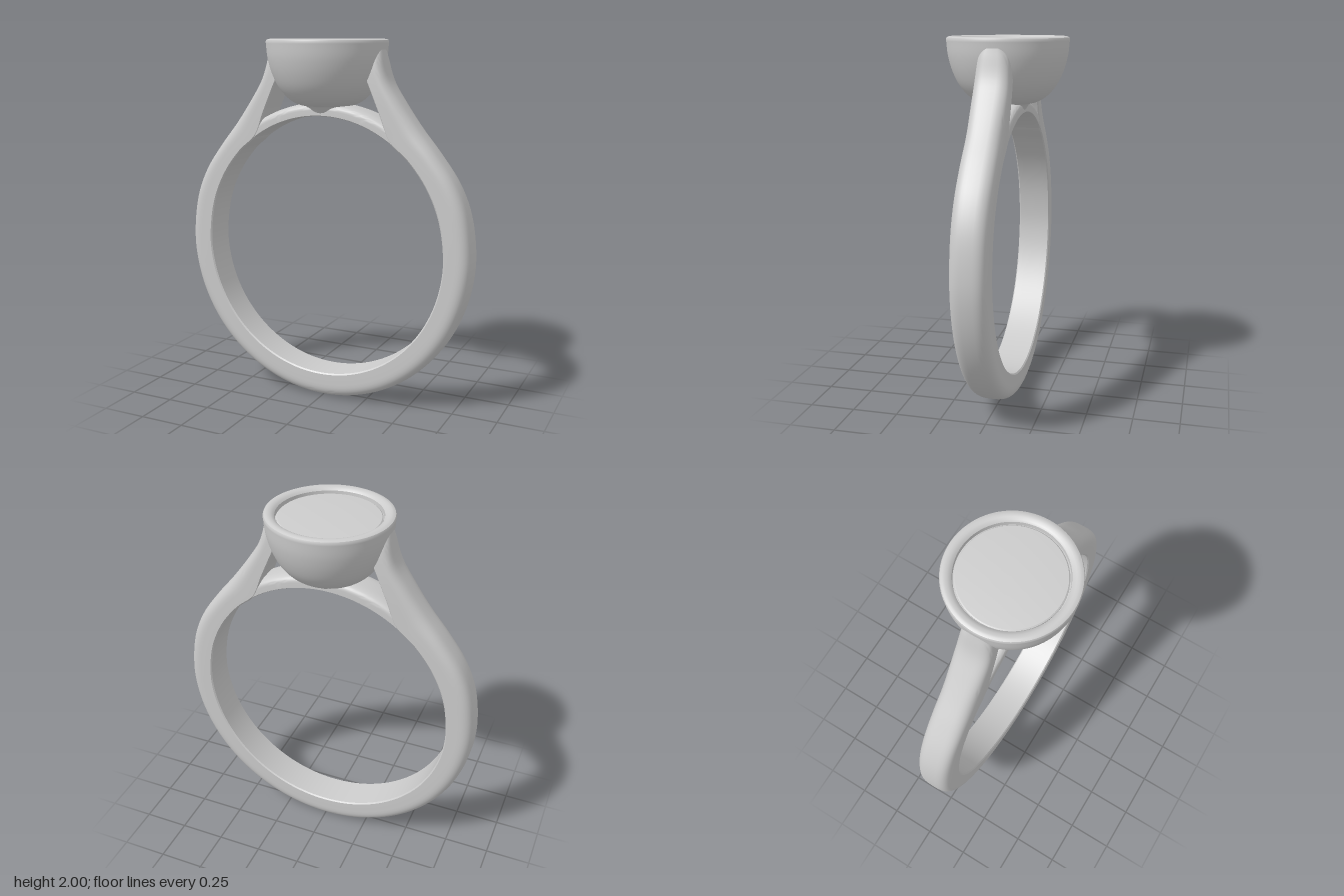
import * as THREE from 'three';
import { toCreasedNormals } from 'three/addons/utils/BufferGeometryUtils.js';

const CY = 0.87;            // height of the finger hole centre
const RX = 0.704, RY = 0.725; // finger hole radii
const HALF_WIDTH = 0.096;

const material = new THREE.MeshStandardMaterial({ color: 0xcccccc, side: THREE.DoubleSide });

function addMesh(group, name, geometry, crease = 0.6) {
  const mesh = new THREE.Mesh(toCreasedNormals(geometry, crease), material);
  mesh.name = name;
  group.add(mesh);
}

const ellipse = (a, rx, ry) => new THREE.Vector3(rx * Math.cos(a), CY + ry * Math.sin(a), 0);

// Band section: u runs from finger side (0) to outside (1), w across the width
function bandSection() {
  const half = [[0, 0.5], [0, 0.93], [0.05, 1]];
  const n = 10;
  for (let i = 0; i <= n; i++) {
    const t = (i / n) * Math.PI / 2;
    half.push([0.45 + 0.55 * Math.sin(t) ** 0.8, Math.cos(t) ** 0.6]);
  }
  half[half.length - 1][1] = 0;
  const left = half.map(([u, w]) => [u, -w]);
  return [...left, ...half.slice(0, -1).reverse()];
}

// Skin a row of { inner, outer, width } stations with the band section
function loft(stations) {
  const section = bandSection(), n = section.length;
  const positions = [], index = [];
  stations.forEach(({ inner, outer, width }, i) => {
    section.forEach(([u, w], j) => {
      const p = inner.clone().lerp(outer, u);
      positions.push(p.x, p.y, w * width);
      if (i === stations.length - 1) return;
      const a = i * n + j, d = i * n + (j + 1) % n;
      index.push(a, a + n, d + n, a, d + n, d);
    });
  });
  // End caps
  const last = (stations.length - 1) * n;
  for (let j = 1; j < n - 1; j++) index.push(0, j, j + 1, last, last + j + 1, last + j);
  const g = new THREE.BufferGeometry();
  g.setAttribute('position', new THREE.Float32BufferAttribute(positions, 3));
  g.setIndex(index);
  return g;
}

// Shank: hoop whose ends sweep up into the two shoulders
function shankStations() {
  const right = [];
  for (let i = 0; i <= 8; i++) {
    const a = -Math.PI / 2 + (i / 8) * Math.PI / 2;
    right.push([ellipse(a, RX, RY), ellipse(a, 0.845, 0.87), 1]);
  }
  // inner x, y, outer x, y, width factor
  [
    [0.674, 1.08, 0.815, 1.10, 1],
    [0.60, 1.25, 0.75, 1.26, 1],
    [0.496, 1.385, 0.645, 1.41, 1],
    [0.395, 1.475, 0.54, 1.54, 1],
    [0.345, 1.60, 0.445, 1.67, 1],
    [0.29, 1.73, 0.37, 1.79, 0.98],
    [0.23, 1.87, 0.335, 1.91, 0.88],
    [0.22, 1.95, 0.322, 1.96, 0.6],
  ].forEach(([ix, iy, ox, oy, w]) =>
    right.push([new THREE.Vector3(ix, iy, 0), new THREE.Vector3(ox, oy, 0), w]));
  const flip = (p) => new THREE.Vector3(-p.x, p.y, 0);
  const left = right.slice(1).reverse().map(([a, b, w]) => [flip(a), flip(b), w]);
  const all = [...left, ...right];
  const inner = new THREE.CatmullRomCurve3(all.map((s) => s[0]));
  const outer = new THREE.CatmullRomCurve3(all.map((s) => s[1]));
  const width = new THREE.CatmullRomCurve3(all.map((s, i) => new THREE.Vector3(i, s[2], 0)));
  const steps = (all.length - 1) * 5;
  return Array.from({ length: steps + 1 }, (_, i) => {
    const t = i / steps;
    return { inner: inner.getPoint(t), outer: outer.getPoint(t), width: HALF_WIDTH * width.getPoint(t).y };
  });
}

// Arch: thin bridge closing the finger hole below the bezel
function archStations() {
  const a0 = Math.acos(0.45 / RX), steps = 48;
  return Array.from({ length: steps + 1 }, (_, i) => {
    const a = a0 + (i / steps) * (Math.PI - 2 * a0);
    return { inner: ellipse(a, RX, RY), outer: ellipse(a, RX + 0.075, RY + 0.07), width: HALF_WIDTH - 0.002 };
  });
}

const lathe = (points) =>
  new THREE.LatheGeometry(points.map(([x, y]) => new THREE.Vector2(x, y)), 96);

export function createModel() {
  const ring = new THREE.Group();
  ring.name = 'ring';

  addMesh(ring, 'shankAndShoulders', loft(shankStations()));
  addMesh(ring, 'underArch', loft(archStations()));

  // Bezel cup: rounded bowl with a soft rim and a shallow seat
  const bowl = new THREE.SplineCurve([
    [0.08, 1.643], [0.15, 1.652], [0.21, 1.685], [0.262, 1.745],
    [0.298, 1.82], [0.32, 1.90], [0.328, 1.975],
  ].map(([x, y]) => new THREE.Vector2(x, y))).getPoints(30).map((p) => [p.x, p.y]);
  addMesh(ring, 'bezelCup', lathe([
    [0, 1.64], ...bowl,
    [0.329, 1.985], [0.325, 1.994], [0.315, 1.999], [0.305, 2.0], [0.292, 1.998],
    [0.28, 1.992], [0.272, 1.984], [0.27, 1.96], [0, 1.955],
  ]));

  // Low domed inlay sitting inside the rim
  addMesh(ring, 'inlay', lathe([
    [0.264, 1.95], [0.264, 1.968], [0.258, 1.973], [0.2, 1.977], [0.1, 1.98], [0, 1.981],
  ]));

  // Flared collar joining cup and arch
  addMesh(ring, 'collar', lathe([
    [0.085, 1.60], [0.097, 1.615], [0.112, 1.637], [0.135, 1.655], [0.165, 1.668],
  ]));

  return ring;
}
